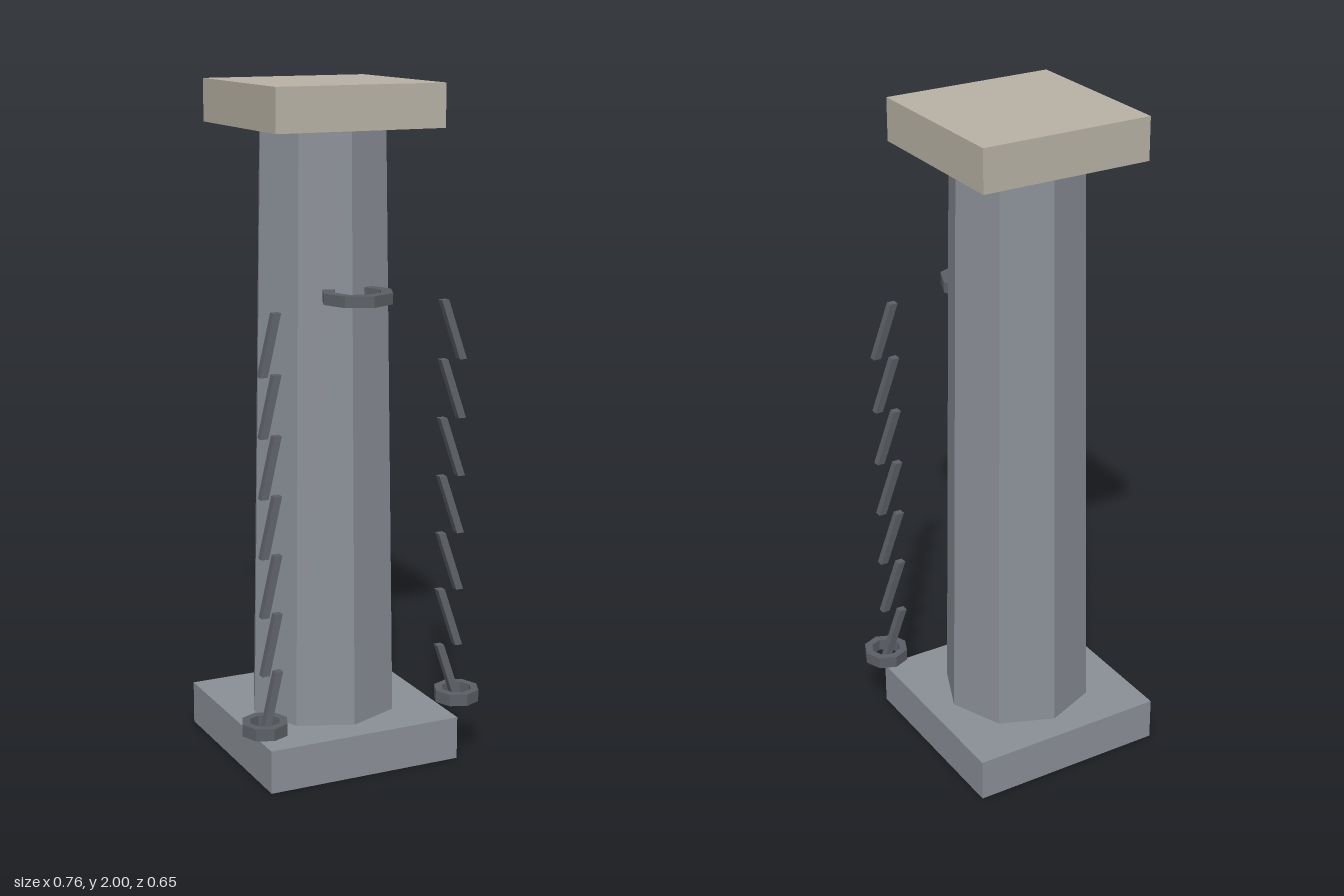
import * as THREE from 'three';

const material = (name, color) => {
  const m = new THREE.MeshStandardMaterial({ color });
  m.name = name;
  return m;
};

export function createModel() {
  const model = new THREE.Group();
  model.name = 'chainedPillar';
  const stone = material('greyStone', 0x8b9098);
  const capStone = material('paleStone', 0xb9b3a6);
  const iron = material('darkIron', 0x5c5f65);

  const add = (name, geometry, mat, x, y, z) => {
    const flat = geometry.index ? geometry.toNonIndexed() : geometry;
    flat.computeVertexNormals(); // crisp facets
    const mesh = new THREE.Mesh(flat, mat);
    mesh.name = name;
    mesh.position.set(x, y, z);
    model.add(mesh);
    return mesh;
  };

  // Pillar: square foot, tapering octagonal shaft, square cap
  const axisZ = -0.023;
  add('base', new THREE.BoxGeometry(0.607, 0.13, 0.607), stone, 0, 0.065, axisZ);
  add('shaft', new THREE.CylinderGeometry(0.193, 0.225, 1.745, 8), stone, 0, 1.0025, axisZ);
  add('capital', new THREE.BoxGeometry(0.52, 0.125, 0.52), capStone, 0, 1.9375, axisZ);

  // Flat octagonal iron ring with a rectangular section
  const ring = (outer, inner, height) => {
    const h = height / 2;
    const profile = [[inner, -h], [outer, -h], [outer, h], [inner, h], [inner, -h]];
    return new THREE.LatheGeometry(profile.map(([r, y]) => new THREE.Vector2(r, y)), 8);
  };
  add('collarRing', ring(0.105, 0.07, 0.032), iron, 0, 1.413, 0.21);

  // Slanted link: a square bar sheared outward and forward toward its foot
  const link = (side) => {
    const geometry = new THREE.BoxGeometry(0.023, 0.172, 0.023);
    const p = geometry.attributes.position;
    for (let i = 0; i < p.count; i++) {
      const drop = -p.getY(i) / 0.172;
      p.setX(i, p.getX(i) + side * 0.05 * drop);
      p.setZ(i, p.getZ(i) + 0.02 * drop);
    }
    return geometry;
  };

  // A hanging chain and shackle on each side
  for (const side of [-1, 1]) {
    const label = side > 0 ? 'left' : 'right';
    for (let i = 0; i < 7; i++) {
      add(`${label}ChainLink${i + 1}`, link(side), iron, side * 0.287, 1.304 - i * 0.173, 0.245);
    }
    add(`${label}Shackle`, ring(0.069, 0.045, 0.036), iron, side * 0.312, 0.198, 0.255);
  }

  return model;
}
